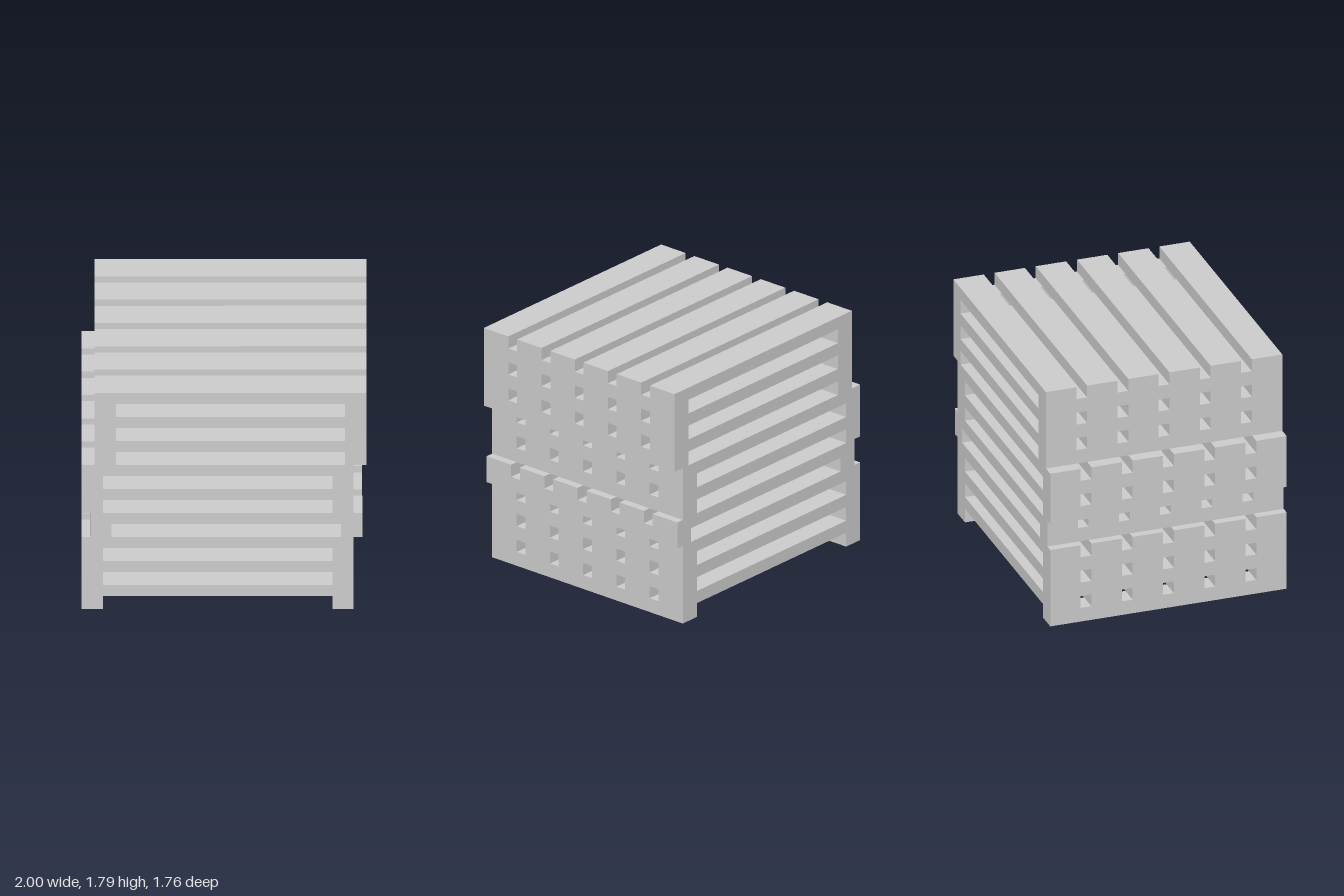
import * as THREE from 'three';

const WIDTH = 1.91, DEPTH = 1.765;
const BEARER_W = 0.15, BEARER_H = 0.106;
const SLAT_D = 0.227, SLAT_H = 0.093;
const PITCH = BEARER_H + SLAT_H;

const material = new THREE.MeshStandardMaterial({ color: 0xcccccc, flatShading: true });

function box(name, w, h, d, x, y, z) {
  const mesh = new THREE.Mesh(new THREE.BoxGeometry(w, h, d), material);
  mesh.name = name;
  mesh.position.set(x, y, z);
  return mesh;
}

// One pallet: two bearers along the sides, six slats laid across them
function createPallet() {
  const pallet = new THREE.Group();
  for (const side of [-1, 1]) {
    pallet.add(box(side > 0 ? 'leftBearer' : 'rightBearer', BEARER_W, BEARER_H, DEPTH,
      side * (WIDTH - BEARER_W) / 2, BEARER_H / 2, 0));
  }
  const step = (DEPTH - SLAT_D) / 5;
  for (let i = 0; i < 6; i++) {
    pallet.add(box('slat', WIDTH, SLAT_H, SLAT_D,
      0, BEARER_H + SLAT_H / 2, (i - 2.5) * step));
  }
  return pallet;
}

export function createModel() {
  const stack = new THREE.Group();
  stack.name = 'palletStack';
  // Sideways shift of each pallet, bottom to top
  const shifts = [-0.045, -0.045, -0.045, 0.015, -0.045, -0.045, 0.045, 0.045, 0.045];
  shifts.forEach((x, i) => {
    const pallet = createPallet();
    pallet.name = `pallet${i + 1}`;
    pallet.position.set(x, i * PITCH, 0);
    stack.add(pallet);
  });
  return stack;
}
